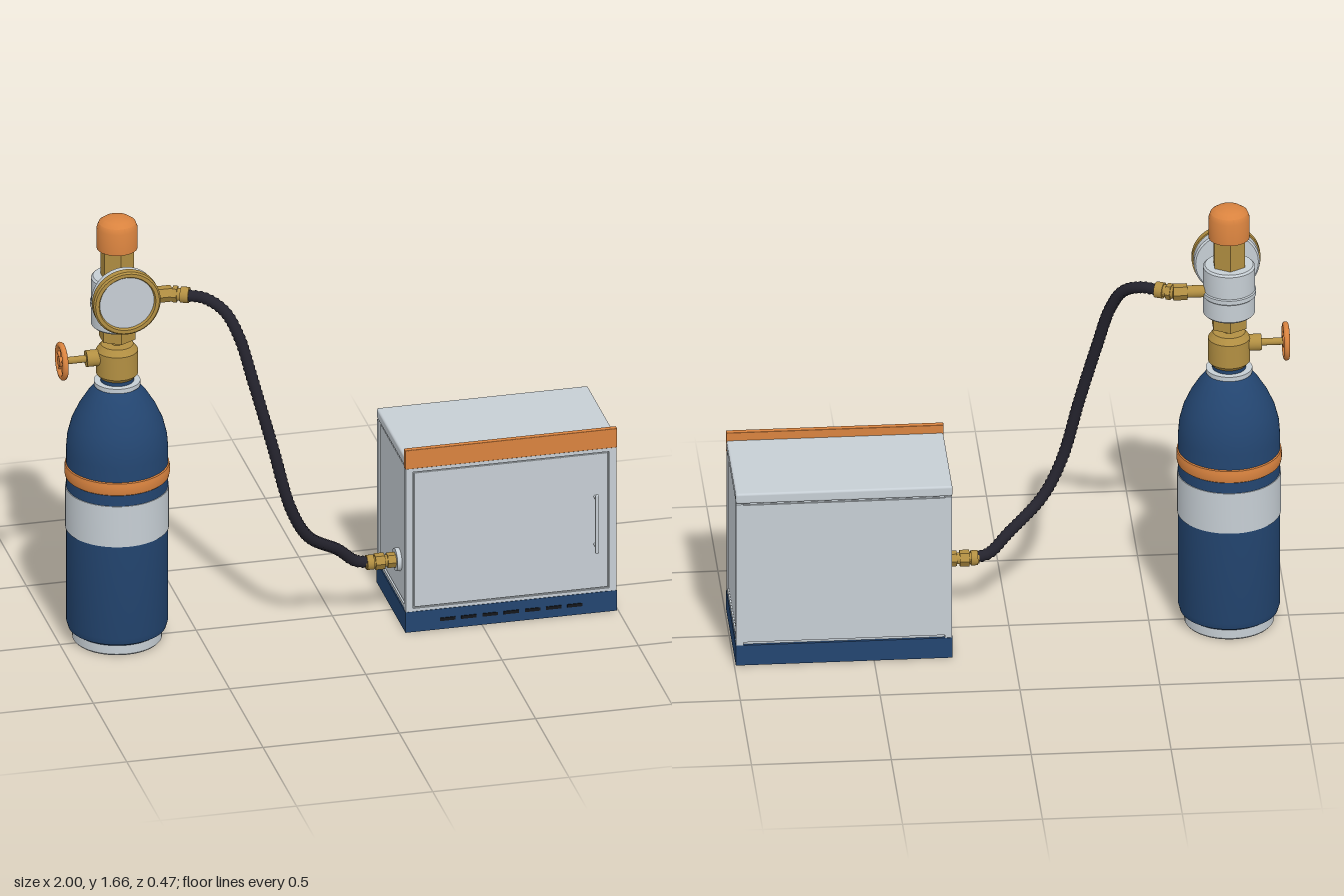
import * as THREE from 'three';
import { toCreasedNormals } from 'three/addons/utils/BufferGeometryUtils.js';
import { RoundedBoxGeometry } from 'three/addons/geometries/RoundedBoxGeometry.js';

function mat(name, color) {
  const m = new THREE.MeshStandardMaterial({ color });
  m.name = name;
  return m;
}

export function createModel() {
  const navy = mat('navy paint', 0x234570);
  const steel = mat('light steel', 0xc6ced4);
  const copper = mat('orange trim', 0xd9833f);
  const brass = mat('brass', 0xb28f42);
  const rubber = mat('black rubber', 0x24232d);
  const dark = mat('vent black', 0x14161b);

  const model = new THREE.Group();
  model.name = 'gasBottleAndCabinet';

  function add(parent, name, geometry, material, x = 0, y = 0, z = 0) {
    const mesh = new THREE.Mesh(geometry, material);
    mesh.name = name;
    mesh.position.set(x, y, z);
    parent.add(mesh);
    return mesh;
  }
  function group(name, x, y, z, parent = model) {
    const g = new THREE.Group();
    g.name = name;
    g.position.set(x, y, z);
    parent.add(g);
    return g;
  }
  // Turned part from [radius, height] pairs, sharp only at real corners
  const turned = (pts, sides = 48) =>
    toCreasedNormals(new THREE.LatheGeometry(pts.map(p => new THREE.Vector2(...p)), sides), 0.6);
  const hex = (r, h) => new THREE.CylinderGeometry(r, r, h, 6).toNonIndexed();
  const hexNut = (r, h) => toCreasedNormals(hex(r, h), 0.5);
  const disc = (r, h, sides = 32) => new THREE.CylinderGeometry(r, r, h, sides);
  const box = (w, h, d) => new THREE.BoxGeometry(w, h, d);

  // ---------- Gas bottle ----------
  const bottle = group('gasBottle', -0.786, 0, -0.016);
  add(bottle, 'footRing', turned([[0.12, 0], [0.155, 0], [0.16, 0.006], [0.16, 0.05], [0.12, 0.05], [0.12, 0]]), steel);
  add(bottle, 'tank', turned([[0, 0.04], [0.16, 0.04], [0.175, 0.05], [0.182, 0.075], [0.182, 0.75], [0.178, 0.8],
    [0.164, 0.855], [0.139, 0.91], [0.108, 0.96], [0.076, 1.0], [0.06, 1.01], [0.06, 1.04], [0, 1.04]], 64), navy);
  add(bottle, 'labelBand', turned([[0.18, 0.44], [0.185, 0.44], [0.185, 0.6], [0.18, 0.6]], 64), steel);
  add(bottle, 'colourBand', turned([[0.18, 0.64], [0.186, 0.645], [0.188, 0.655], [0.188, 0.68], [0.186, 0.69], [0.18, 0.695]], 64), copper);
  add(bottle, 'neckCollar', turned([[0.05, 0.998], [0.083, 0.998], [0.083, 1.015], [0.05, 1.015]]), steel);

  // ---------- Valve ----------
  add(bottle, 'valveBody', turned([[0, 1.03], [0.062, 1.03], [0.075, 1.045], [0.075, 1.135], [0.058, 1.158], [0, 1.158]]), brass);
  add(bottle, 'valvePin', disc(0.02, 0.04, 16), brass, 0, 1.17, 0);
  const handle = group('valveHandle', 0, 1.11, 0, bottle);
  add(handle, 'valveGland', disc(0.03, 0.06), brass, -0.085, 0, 0).rotation.z = Math.PI / 2;
  add(handle, 'valveStem', disc(0.013, 0.12, 16), brass, -0.145, 0, 0).rotation.z = Math.PI / 2;
  add(handle, 'handwheelRim', new THREE.TorusGeometry(0.059, 0.011, 12, 40), copper, -0.203, 0, 0).rotation.y = Math.PI / 2;
  add(handle, 'handwheelHub', disc(0.02, 0.024, 20), copper, -0.203, 0, 0).rotation.z = Math.PI / 2;
  for (let i = 0; i < 5; i++) {
    const a = i * Math.PI * 2 / 5;
    const spoke = add(handle, 'handwheelSpoke', disc(0.006, 0.05, 8), copper, -0.203, Math.cos(a) * 0.035, Math.sin(a) * 0.035);
    spoke.rotation.x = a;
  }

  // ---------- Regulator ----------
  const regulator = group('regulator', 0, 0, 0, bottle);
  add(regulator, 'inletNut', hexNut(0.068, 0.06), brass, 0, 1.212, 0);
  add(regulator, 'regulatorBody', turned([[0, 1.233], [0.086, 1.233], [0.093, 1.24], [0.093, 1.308], [0.097, 1.312],
    [0.097, 1.328], [0.093, 1.332], [0.093, 1.42], [0.086, 1.427], [0, 1.427]]), steel);
  add(regulator, 'bonnetNut', hexNut(0.062, 0.13), brass, 0, 1.48, 0);
  add(regulator, 'adjusterCap', turned([[0, 1.537], [0.073, 1.537], [0.073, 1.618], [0.066, 1.637], [0.048, 1.65], [0.02, 1.656], [0, 1.656]]), copper);

  // Pressure gauge, turned about the front axis
  const gauge = group('gauge', 0, 1.385, 0, regulator);
  gauge.rotation.x = Math.PI / 2;
  add(gauge, 'gaugeStem', disc(0.04, 0.06), steel, 0, 0.08, 0);
  add(gauge, 'gaugeCase', turned([[0, 0.09], [0.112, 0.09], [0.118, 0.096], [0.118, 0.13], [0, 0.13]]), steel);
  add(gauge, 'gaugeBezel', turned([[0.1, 0.125], [0.123, 0.125], [0.123, 0.15], [0.117, 0.156], [0.104, 0.156], [0.1, 0.15], [0.1, 0.125]]), brass);
  add(gauge, 'gaugeFace', disc(0.101, 0.016, 48), steel, 0, 0.137, 0);

  // ---------- Hose fittings ----------
  const fitting = (name, x, y, z, yaw, parts) => {
    const g = group(name, x, y, z);
    g.rotation.y = yaw;
    for (const [kind, r, from, to] of parts) {
      const geo = kind === 'hex' ? hexNut(r, to - from) : disc(r, to - from, 24);
      add(g, kind === 'hex' ? 'fittingNut' : 'fittingBarrel', geo, brass, (from + to) / 2, 0, 0).rotation.z = Math.PI / 2;
    }
  };
  fitting('outletFitting', -0.72, 1.328, -0.026, 0, [['round', 0.022, 0, 0.12], ['hex', 0.03, 0.085, 0.135]]);
  fitting('outletFerrule', -0.59, 1.327, -0.026, -0.42,
    [['round', 0.023, 0, 0.065], ['hex', 0.03, 0.01, 0.028], ['round', 0.029, 0.04, 0.07]]);
  fitting('cabinetFitting', 0.1, 0.235, 0.08, 0,
    [['round', 0.021, 0, 0.125], ['round', 0.027, 0.005, 0.03], ['hex', 0.03, 0.035, 0.07], ['hex', 0.028, 0.08, 0.11]]);

  // ---------- Hose with shallow ribs ----------
  const path = new THREE.CatmullRomCurve3([
    [-0.545, 1.325, -0.006], [-0.475, 1.322, 0.032], [-0.415, 1.285, 0.078], [-0.372, 1.2, 0.115], [-0.328, 1.03, 0.158],
    [-0.268, 0.79, 0.2], [-0.205, 0.545, 0.213], [-0.135, 0.415, 0.187], [-0.005, 0.312, 0.11],
    [0.065, 0.249, 0.085], [0.125, 0.235, 0.08],
  ].map(p => new THREE.Vector3(...p)));
  const steps = 600;
  const hose = new THREE.TubeGeometry(path, steps, 0.0205, 14);
  const pos = hose.attributes.position, nor = hose.attributes.normal;
  for (let i = 0; i < pos.count; i++) {
    const d = 0.0015 * Math.sin(Math.floor(i / 15) * Math.PI * 2 / 8);
    pos.setXYZ(i, pos.getX(i) + nor.getX(i) * d, pos.getY(i) + nor.getY(i) * d, pos.getZ(i) + nor.getZ(i) * d);
  }
  add(model, 'hose', hose, rubber);

  // ---------- Cabinet ----------
  const cabinet = group('cabinet', 0.607, 0, -0.016);
  add(cabinet, 'plinth', box(0.775, 0.08, 0.432), navy, 0, 0.04, 0);
  add(cabinet, 'cabinetCore', box(0.755, 0.57, 0.412), steel, 0, 0.365, 0);
  add(cabinet, 'backPanel', box(0.73, 0.55, 0.01), steel, 0, 0.365, -0.207);
  for (const sx of [-1, 1]) {
    for (const sz of [-1, 1]) {
      add(cabinet, 'cornerPost', box(0.026, 0.565, 0.026), steel, sx * 0.373, 0.3625, sz * 0.202);
    }
    add(cabinet, 'sidePanel', box(0.008, 0.535, 0.37), steel, sx * 0.377, 0.37, 0);
    add(cabinet, 'sideRail', box(0.016, 0.014, 0.38), steel, sx * 0.377, 0.09, 0);
  }
  add(cabinet, 'frontTopRail', box(0.73, 0.016, 0.02), steel, 0, 0.638, 0.204);
  add(cabinet, 'frontBottomRail', box(0.73, 0.012, 0.02), steel, 0, 0.086, 0.204);
  add(cabinet, 'door', new RoundedBoxGeometry(0.712, 0.53, 0.014, 2, 0.003), steel, 0, 0.361, 0.206);
  add(cabinet, 'lid', new RoundedBoxGeometry(0.775, 0.04, 0.43, 3, 0.008), steel, 0, 0.668, -0.003);
  add(cabinet, 'frontTrim', new RoundedBoxGeometry(0.778, 0.075, 0.022, 2, 0.003), copper, 0, 0.6825, 0.208);

  // Door handle on two standoffs
  add(cabinet, 'doorHandle', new RoundedBoxGeometry(0.015, 0.23, 0.012, 2, 0.004), steel, 0.308, 0.364, 0.245);
  for (const y of [0.27, 0.458]) {
    add(cabinet, 'handleStandoff', disc(0.005, 0.035, 10), steel, 0.308, y, 0.226).rotation.x = Math.PI / 2;
  }

  // Ventilation slots in the plinth
  for (let i = 0; i < 7; i++) {
    add(cabinet, 'ventSlot', box(0.056, 0.012, 0.006), dark, -0.233 + i * 0.0778, 0.039, 0.216);
  }

  // Hose port plate
  add(cabinet, 'hosePort', disc(0.042, 0.02), steel, -0.387, 0.235, 0.096).rotation.z = Math.PI / 2;

  return model;
}
